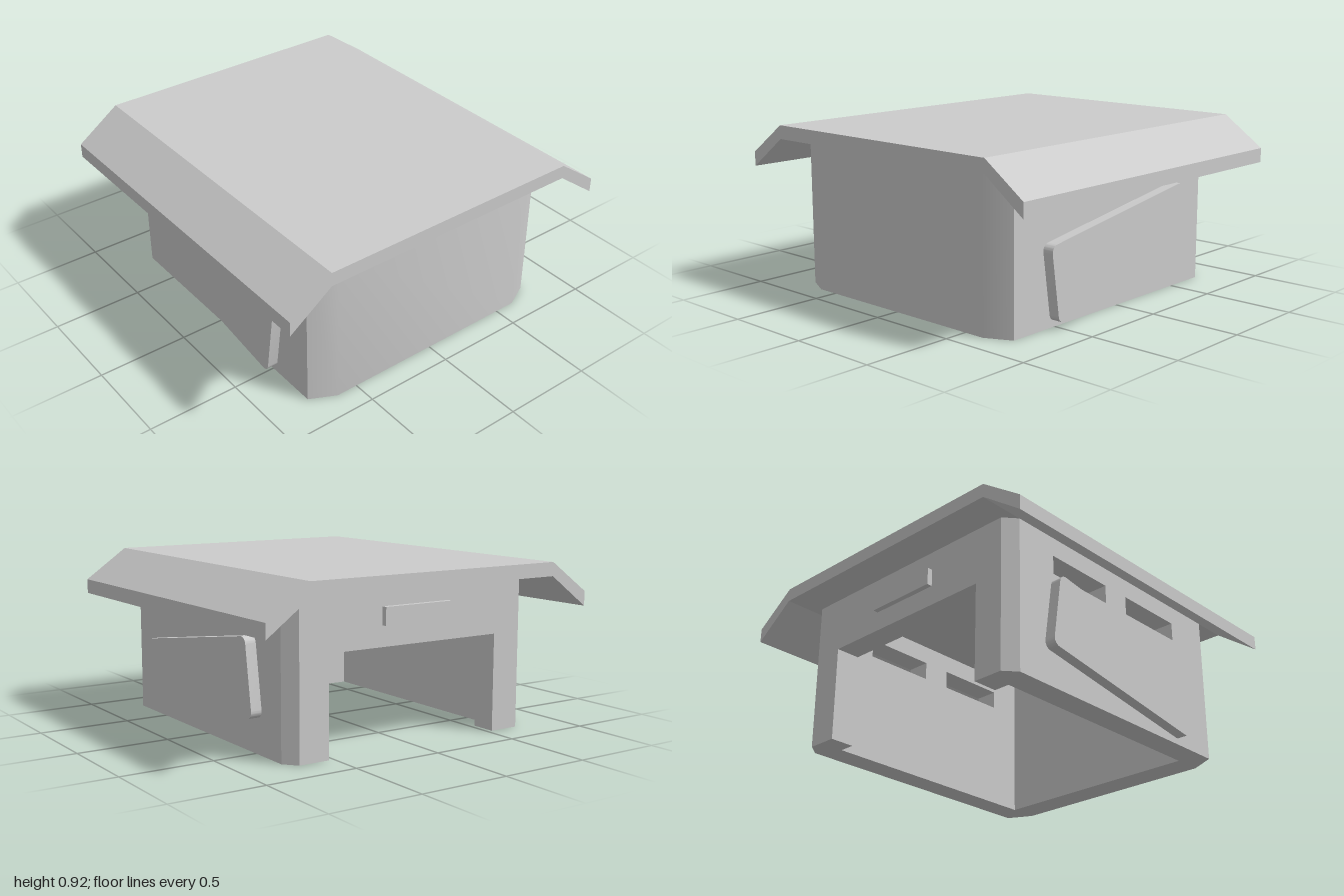
import * as THREE from 'three';
import { toCreasedNormals } from 'three/addons/utils/BufferGeometryUtils.js';

const material = new THREE.MeshStandardMaterial({ color: 0xcccccc });
const EAVE = 0.84; // wall height
const OUT = 0.76, IN = 0.62; // outer and inner faces of the long walls

export function createModel() {
  const model = new THREE.Group();

  const add = (name, geometry) => {
    const mesh = new THREE.Mesh(geometry, material);
    mesh.name = name;
    model.add(mesh);
    return mesh;
  };
  const box = (name, x0, x1, y0, y1, z0, z1) =>
    add(name, new THREE.BoxGeometry(x1 - x0, y1 - y0, z1 - z0))
      .position.set((x0 + x1) / 2, (y0 + y1) / 2, (z0 + z1) / 2);
  const polygon = (points) => new THREE.Shape(points.map(([x, y]) => new THREE.Vector2(x, y)));
  const extrude = (shape, depth) =>
    new THREE.ExtrudeGeometry(shape, { depth, bevelEnabled: false, curveSegments: 6 });
  // Upright prism from a floor plan given as [x, z]
  const upright = (plan, height) => toCreasedNormals(
    extrude(polygon(plan.map(([x, z]) => [x, -z])), height).rotateX(-Math.PI / 2), 0.6);

  // Roof slab with sloping front and back eaves
  const roof = polygon([
    [-1, 0.665], [-OUT, EAVE], [OUT, EAVE], [1, 0.665],
    [1, 0.745], [OUT, 0.915], [-OUT, 0.915], [-1, 0.745],
  ]);
  add('roof', extrude(roof, 2).translate(0, 0, -1).rotateY(Math.PI / 2));

  // Closed end wall with softly shaded outer corners
  add('endWall', upright([
    [0.8, OUT], [0.87, 0.62], [0.87, -0.62], [0.8, -OUT],
    [0.8, -IN], [0.71, -IN], [0.71, IN], [0.8, IN],
  ], EAVE));

  // Rounded plate outline for the sign boards
  const w = 0.555, h = 0.205, r = 0.04;
  const plate = new THREE.Shape();
  plate.absarc(w - r, h - r, r, 0, Math.PI / 2);
  plate.absarc(-w + r, h - r, r, Math.PI / 2, Math.PI);
  plate.absarc(-w + r, -h + r, r, Math.PI, Math.PI * 1.5);
  plate.absarc(w - r, -h + r, r, Math.PI * 1.5, Math.PI * 2);

  for (const [side, s] of [['front', 1], ['back', -1]]) {
    // Long wall with two window slots
    const wall = polygon([[-0.74, 0], [0.8, 0], [0.8, EAVE], [-0.74, EAVE]]);
    for (const x of [-0.49, 0.1]) {
      wall.holes.push(polygon([[x, 0.63], [x, 0.735], [x + 0.42, 0.735], [x + 0.42, 0.63]]));
    }
    add(side + 'Wall', extrude(wall, OUT - IN)).position.z = s > 0 ? IN : -OUT;

    // Tilted board on the wall
    const board = add(side + 'Board',
      toCreasedNormals(extrude(plate, 0.07).translate(0, 0, -0.035), 0.6));
    board.position.set(0.015, 0.315, s * 0.785);
    board.rotation.z = -0.15;

    // Corner post beside the open end
    add(side + 'Post', upright([
      [-0.74, s * OUT], [-0.81, s * 0.7], [-0.81, s * 0.53],
      [-0.67, s * 0.53], [-0.67, s * IN], [-0.74, s * IN],
    ], EAVE));
  }

  // Lintel over the open end, with a small plate on it
  box('lintel', -0.81, -0.67, 0.53, EAVE, -0.53, 0.53);
  box('lintelPlate', -0.84, -0.8, 0.64, 0.735, -0.21, 0.21);

  return model;
}
